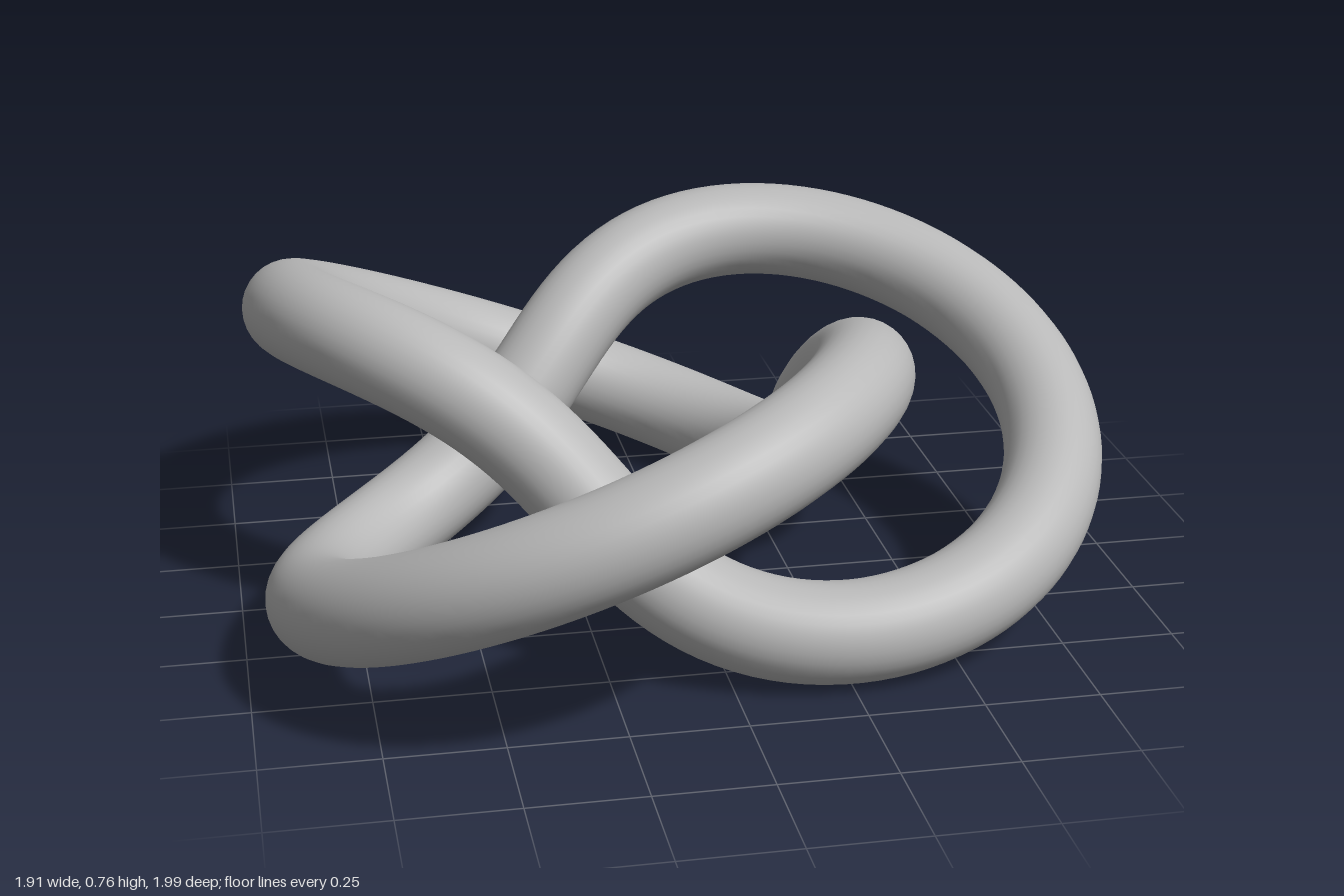
import * as THREE from 'three';

// Centre line: a trefoil wound around an invisible torus
class TrefoilCurve extends THREE.Curve {
  constructor(ring, wave, centre) {
    super();
    this.ring = ring;
    this.wave = wave;
    this.centre = centre;
  }
  getPoint(u, target = new THREE.Vector3()) {
    const t = u * Math.PI * 2;
    const r = this.ring + this.wave * Math.cos(3 * t);
    return target.set(
      r * Math.cos(2 * t),
      -this.wave * Math.sin(3 * t),
      r * Math.sin(2 * t)
    ).add(this.centre);
  }
}

export function createModel() {
  const group = new THREE.Group();
  group.name = 'trefoilKnot';

  const grey = new THREE.MeshStandardMaterial({ color: 0xb8b8b8 });
  grey.name = 'light grey';

  // One closed round tube following the knot
  const tubeRadius = 0.11;
  const wave = 0.268;
  const curve = new TrefoilCurve(0.668, wave, new THREE.Vector3(-0.09, wave + tubeRadius, 0));
  const tube = new THREE.Mesh(new THREE.TubeGeometry(curve, 300, tubeRadius, 32, true), grey);
  tube.name = 'knotTube';
  group.add(tube);

  return group;
}
